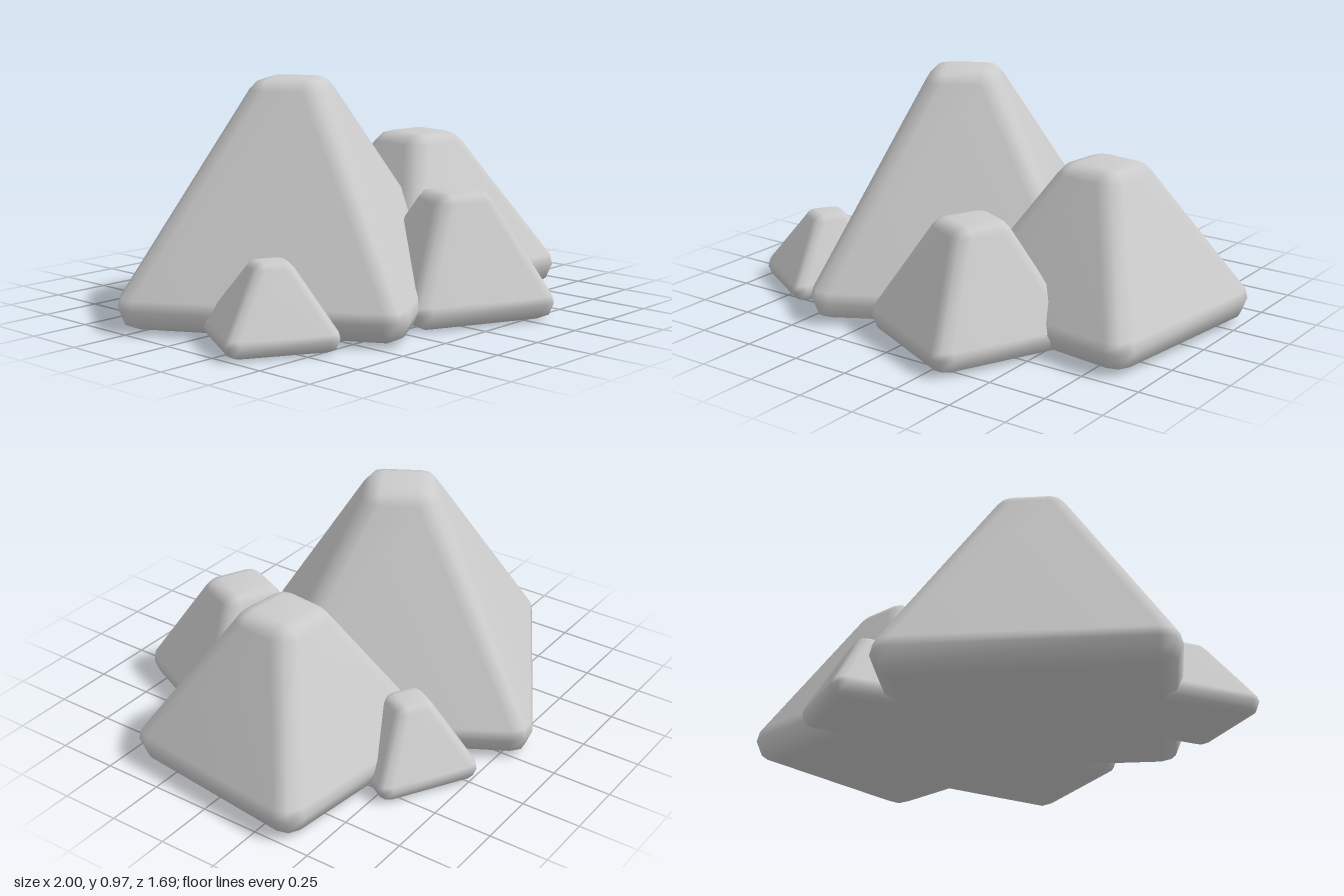
import * as THREE from 'three';
import { mergeVertices } from 'three/addons/utils/BufferGeometryUtils.js';

// Square frustum with rounded edges: an inner frustum (half widths a0, a1) swept by a ball of radius r
function rockGeometry(halfBase, halfTop, height, r) {
  const a0 = halfBase - r, a1 = halfTop;
  const slope = Math.atan2(a0 - a1, height - 2 * r);
  const up = Math.PI / 2;
  const rings = [
    [a0, r, -up], [a0, r, -up / 2], [a0, r, 0], [a0, r, slope],
    [a1, height - r, slope], [a1, height - r, (slope + up) / 2], [a1, height - r, up],
  ];
  const n = 12, pos = [], index = [];
  for (const [a, y, tilt] of rings) {
    for (let k = 0; k < 4; k++) {
      const mid = Math.PI / 4 + k * up;
      for (let s = -1; s <= 1; s++) {
        const az = mid + s * Math.PI / 4, out = r * Math.cos(tilt);
        pos.push(
          a * Math.sign(Math.cos(mid)) + out * Math.cos(az),
          y + r * Math.sin(tilt),
          a * Math.sign(Math.sin(mid)) + out * Math.sin(az));
      }
    }
  }
  const last = rings.length - 1;
  const bottom = pos.length / 3, top = bottom + 1;
  pos.push(0, 0, 0, 0, height, 0);
  for (let j = 0; j < n; j++) {
    const j1 = (j + 1) % n;
    for (let i = 0; i < last; i++) {
      const p = i * n + j, q = i * n + j1;
      index.push(p, p + n, q, q, p + n, q + n);
    }
    index.push(bottom, j, j1, top, last * n + j1, last * n + j);
  }
  const geo = new THREE.BufferGeometry();
  geo.setAttribute('position', new THREE.Float32BufferAttribute(pos, 3));
  geo.setIndex(index);
  const welded = mergeVertices(geo, 1e-4);
  welded.computeVertexNormals();
  return welded;
}

export function createModel() {
  const group = new THREE.Group();
  group.name = 'rockCluster';
  const material = new THREE.MeshStandardMaterial({ color: 0xcccccc });

  // name, x, z, turn in degrees, half base, half top, height, edge radius, lift
  const rocks = [
    ['largeRock', -0.23, -0.085, 30, 0.587, 0.08, 0.97, 0.09, 0.004],
    ['rightRock', 0.51, -0.03, -7, 0.45, 0.08, 0.685, 0.09, 0.002],
    ['frontRock', 0.19, 0.44, -25, 0.32, 0.07, 0.51, 0.07, 0],
    ['smallLeftRock', -0.715, 0.27, -30, 0.225, 0.04, 0.33, 0.05, 0.001],
    ['smallBackRock', 0.295, -0.485, -30, 0.22, 0.04, 0.33, 0.05, 0.003],
  ];
  for (const [name, x, z, turn, base, top, height, r, lift] of rocks) {
    const rock = new THREE.Mesh(rockGeometry(base, top, height - lift, r), material);
    rock.name = name;
    rock.position.set(x, lift, z);
    rock.rotation.y = THREE.MathUtils.degToRad(turn);
    group.add(rock);
  }
  return group;
}
